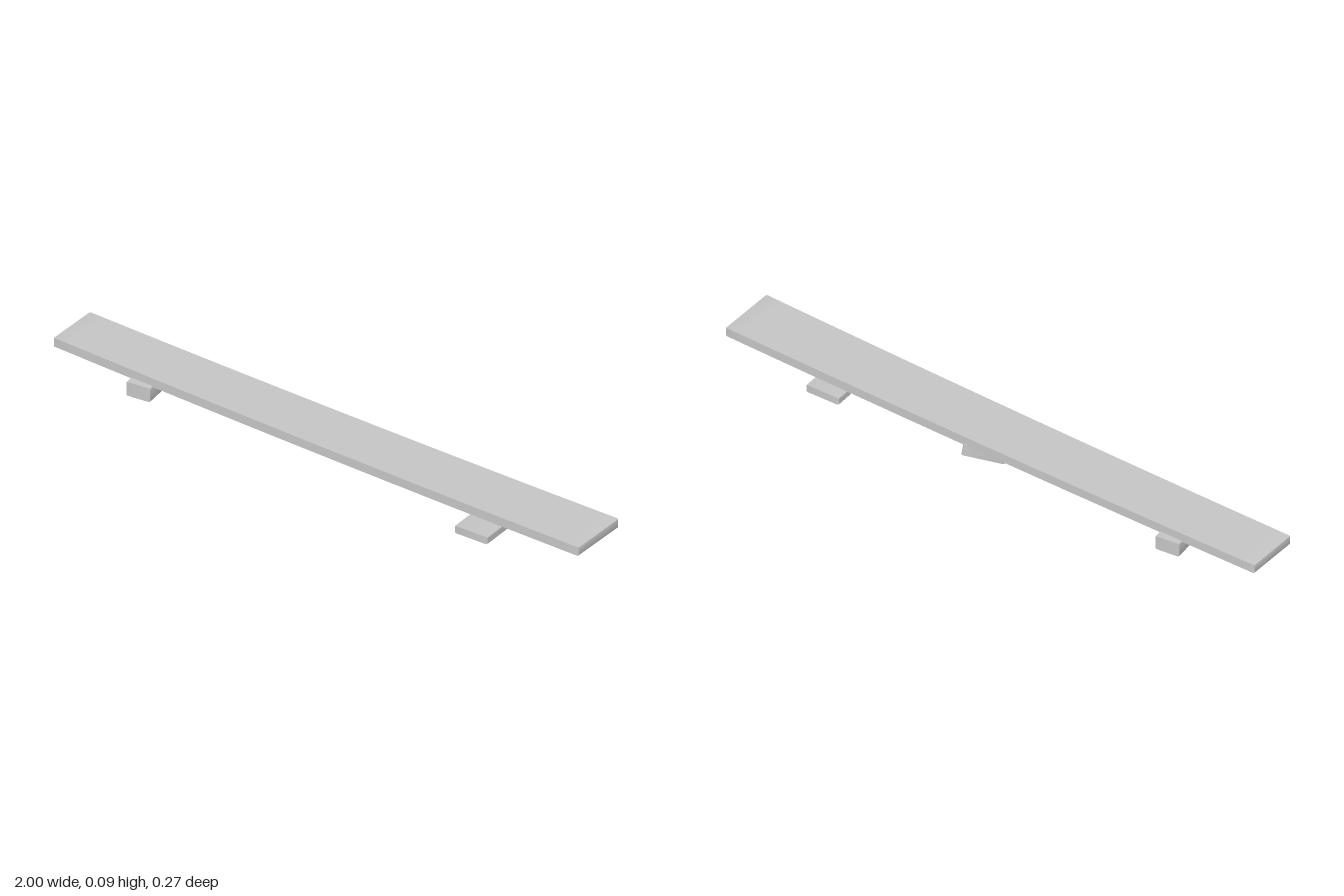
import * as THREE from 'three';
import { toCreasedNormals } from 'three/addons/utils/BufferGeometryUtils.js';

const BEVEL = 0.005;

// Bevelled bar running along x, centred on the origin
function barGeometry(length, height, width, steps = 1) {
  const w = width / 2 - BEVEL, h = height / 2 - BEVEL;
  const shape = new THREE.Shape([
    new THREE.Vector2(-w, -h), new THREE.Vector2(w, -h),
    new THREE.Vector2(w, h), new THREE.Vector2(-w, h),
  ]);
  const depth = length - 2 * BEVEL;
  return new THREE.ExtrudeGeometry(shape, {
    depth, steps, bevelEnabled: true, bevelThickness: BEVEL, bevelSize: BEVEL, bevelSegments: 2,
  }).translate(0, 0, -depth / 2).rotateY(Math.PI / 2);
}

// Sagging plank that widens slightly towards +x
function plankGeometry() {
  const g = barGeometry(2, 0.031, 0.2, 32);
  const p = g.attributes.position;
  for (let i = 0; i < p.count; i++) {
    const x = p.getX(i);
    const width = 0.195 + 0.011 * x;
    const centre = -0.015 + 0.002 * x;
    p.setY(i, p.getY(i) + 0.0745 + 0.007 * x * x);
    p.setZ(i, centre + p.getZ(i) / 0.2 * width);
  }
  return toCreasedNormals(g, 0.6);
}

export function createModel() {
  const model = new THREE.Group();
  const stone = new THREE.MeshStandardMaterial({ color: 0xc4c4c4 });
  stone.name = 'pale grey';

  const add = (name, geometry) => {
    const mesh = new THREE.Mesh(geometry, stone);
    mesh.name = name;
    model.add(mesh);
    return mesh;
  };

  add('plank', plankGeometry());

  // Supporting blocks: size, centre, yaw, tilt
  const blocks = [
    ['rightSupport', [0.085, 0.049, 0.236], [-0.673, 0.0415, -0.016], 0.12, 0],
    ['leftLowerSlab', [0.122, 0.026, 0.27], [0.622, 0.025, 0], 0.03, 0],
    ['leftUpperSlab', [0.178, 0.027, 0.107], [0.6, 0.052, -0.002], 0.02, 0],
    ['middleWedge', [0.136, 0.042, 0.044], [0.05, 0.034, -0.07], 0.52, 0.18],
  ];
  for (const [name, size, position, yaw, tilt] of blocks) {
    const mesh = add(name, toCreasedNormals(barGeometry(...size), 0.6));
    mesh.position.set(...position);
    mesh.rotation.set(0, yaw, tilt, 'YXZ');
  }
  return model;
}
